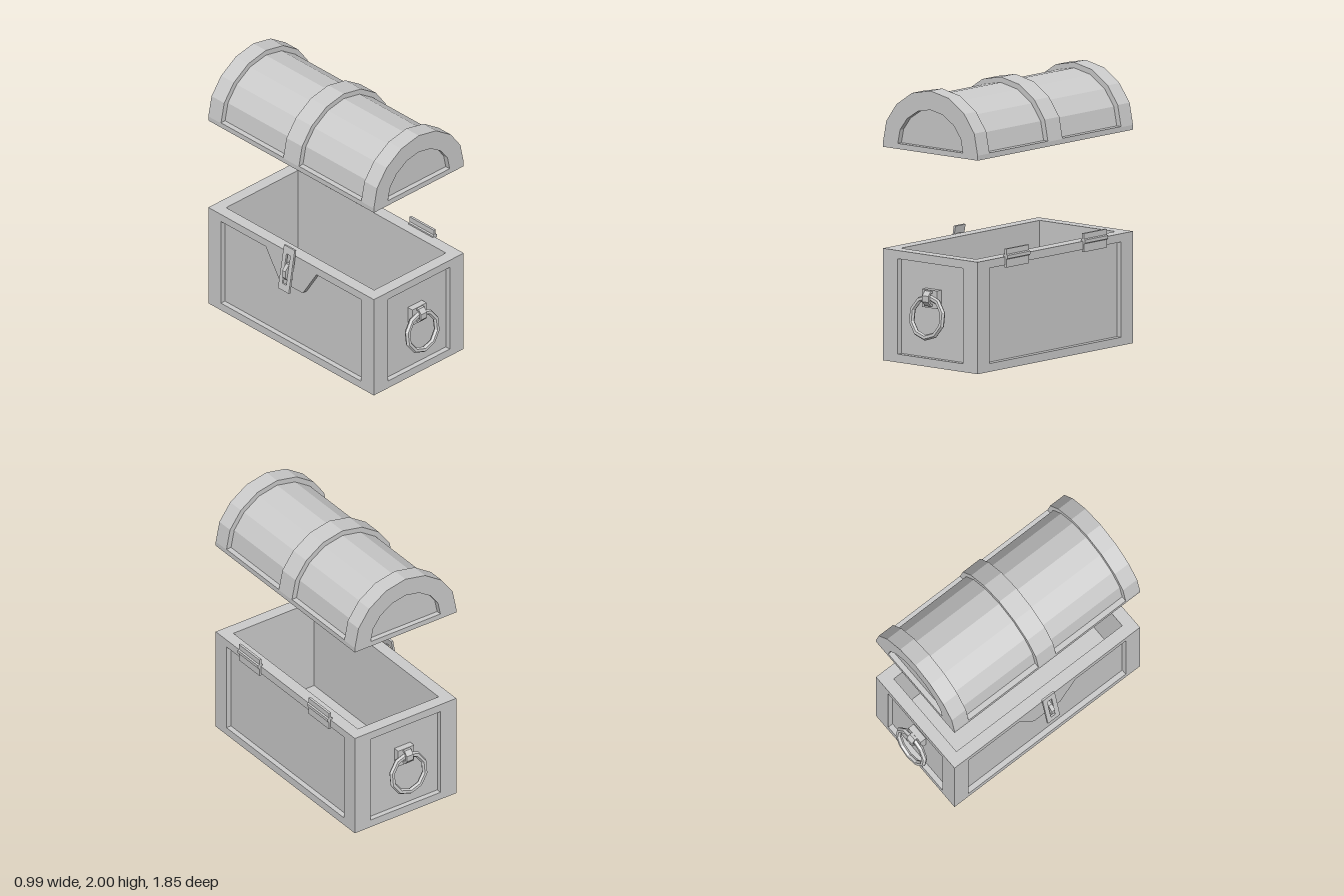
import * as THREE from 'three';

const material = new THREE.MeshStandardMaterial({ color: 0xcccccc, flatShading: true });
const CX = 0.02, W = 0.445, D = 0.85, H = 0.81; // body centre x, half width, half depth, height
const R = 0.04, WALL = 0.09; // panel recess, wall thickness

function add(parent, name, geometry, x = 0, y = 0, z = 0) {
  const mesh = new THREE.Mesh(geometry, material);
  mesh.name = name;
  mesh.position.set(x, y, z);
  parent.add(mesh);
  return mesh;
}

const vectors = (points) => points.map(([x, y]) => new THREE.Vector2(x, y));
const rect = (w, y0, y1) => [[-w, y0], [w, y0], [w, y1], [-w, y1]];

// Extrudes an outline from z = 0 to z = depth, optionally with one hole
function slab(outline, depth, hole) {
  const shape = new THREE.Shape(vectors(outline));
  if (hole) shape.holes.push(new THREE.Path(vectors(hole)));
  return new THREE.ExtrudeGeometry(shape, { depth, bevelEnabled: false });
}

// Faceted half-dome outline, shrunk inwards by d
function arch(d, base) {
  const half = [[W, 1.58], [0.413, 1.737], [0.318, 1.868], [0.172, 1.965]]
    .map(([x, y]) => [x * (1 - d / W), 1.58 + (y - 1.58) * (1 - d / 0.42)]);
  const right = [[W - d, base], ...half];
  return [...right, [0, 2 - d], ...right.map(([x, y]) => [-x, y]).reverse()];
}
const archBand = (d) => [...arch(d, 1.545), ...arch(WALL, 1.545).reverse()];

// Bent half loop that bulges towards +x
function loop(h, depth, t, width) {
  const g = slab([[0, -h], [depth * 0.5, -h], [depth, -h * 0.4], [depth, h * 0.4], [depth * 0.5, h], [0, h],
    [0, h - t], [depth * 0.45, h - t], [depth - t, h * 0.3], [depth - t, -h * 0.3], [depth * 0.45, t - h], [0, t - h]], width);
  return g.translate(0, 0, -width / 2);
}

function makeBody() {
  const body = new THREE.Group();
  body.name = 'chestBody';
  const w = W - R, d = D - R;
  // Walls and floor
  add(body, 'walls', slab(rect(w, -d, d), H - R, rect(W - WALL, WALL - D, D - WALL)).rotateX(-Math.PI / 2), CX, R, 0);
  add(body, 'floor', new THREE.BoxGeometry(2 * (W - WALL), 0.05, 2 * (D - WALL)), CX, R + 0.025, 0);
  add(body, 'bottomFrame', slab(rect(w, -d, d), R, rect(0.307, -0.72, 0.72)).rotateX(-Math.PI / 2), CX, 0, 0);
  // End frames
  for (const s of [1, -1]) {
    add(body, 'endFrame', slab(rect(W, 0, H), R, rect(0.307, 0.06, 0.75)), CX, 0, s > 0 ? d : -D);
  }
  // Long frames; the latch side dips down behind the latch
  const plain = rect(0.72, 0.06, 0.75);
  const dipped = [[-0.72, 0.06], [0.72, 0.06], [0.72, 0.75], [0.26, 0.75], [0.12, 0.53],
    [-0.12, 0.53], [-0.26, 0.75], [-0.72, 0.75]];
  add(body, 'hingeSideFrame', slab(rect(d, 0, H), R, plain).rotateY(Math.PI / 2), CX + w, 0, 0);
  add(body, 'latchSideFrame', slab(rect(d, 0, H), R, dipped).rotateY(Math.PI / 2), CX - W, 0, 0);
  return body;
}

function makeLid() {
  const lid = new THREE.Group();
  lid.name = 'lid';
  for (const s of [1, -1]) {
    const at = (z, depth) => (s > 0 ? z : -z - depth);
    add(lid, 'endStrap', slab(archBand(0), 0.04), CX, 0, at(0.72, 0.04));
    add(lid, 'endPanel', slab(arch(0, 1.545), 0.05), CX, 0, at(0.76, 0.05));
    add(lid, 'endArchFrame', slab(arch(0, 1.545), R, arch(0.138, 1.585)), CX, 0, at(0.81, R));
    add(lid, 'barrel', slab(archBand(R), 0.64), CX, 0, at(0.08, 0.64));
    // Bottom rails on both long sides
    for (const side of [1, -1]) {
      add(lid, 'bottomRail', new THREE.BoxGeometry(0.065, 0.04, 0.64), CX + side * (W - 0.0325), 1.565, s * 0.4);
    }
  }
  add(lid, 'middleStrap', slab(archBand(0), 0.16), CX, 0, -0.08);
  return lid;
}

function makeHinge(z) {
  const hinge = new THREE.Group();
  hinge.name = 'hinge';
  add(hinge, 'hingeLeaf', new THREE.BoxGeometry(0.018, 0.135, 0.25), 0.468, 0.8, z);
  add(hinge, 'hingePin', new THREE.CylinderGeometry(0.023, 0.023, 0.25, 6).rotateX(Math.PI / 2), 0.468, H, z);
  return hinge;
}

function makeLatch() {
  const latch = new THREE.Group();
  latch.name = 'latch';
  // Slotted hasp leaning outwards at the bottom
  const hasp = slab(rect(0.055, -0.172, 0.172), 0.016, rect(0.02, -0.12, 0.115));
  hasp.translate(0, 0, -0.008).rotateY(Math.PI / 2);
  add(latch, 'hasp', hasp, -0.464, 0.697, 0).rotation.z = -0.175;
  add(latch, 'staple', loop(0.07, 0.073, 0.025, 0.03), -0.424, 0.665, 0).rotation.y = Math.PI;
  return latch;
}

function makeHandle(s) {
  const handle = new THREE.Group();
  handle.name = 'ringHandle';
  add(handle, 'handlePlate', new THREE.BoxGeometry(0.14, 0.13, 0.052), CX, 0.495, 0.832);
  add(handle, 'handleLoop', loop(0.055, 0.055, 0.016, 0.058), CX, 0.5, 0.85).rotation.y = -Math.PI / 2;
  const ring = new THREE.TorusGeometry(0.146, 0.021, 6, 10).rotateZ(Math.PI / 10);
  add(handle, 'ring', ring, CX, 0.365, 0.885).rotation.x = -0.14;
  // The far end mirrors the near one
  if (s < 0) {
    handle.rotation.y = Math.PI;
    handle.position.x = 2 * CX;
  }
  return handle;
}

export function createModel() {
  const chest = new THREE.Group();
  chest.name = 'chest';
  chest.add(makeBody(), makeLid(), makeLatch());
  for (const s of [1, -1]) chest.add(makeHinge(s * 0.425), makeHandle(s));
  return chest;
}
